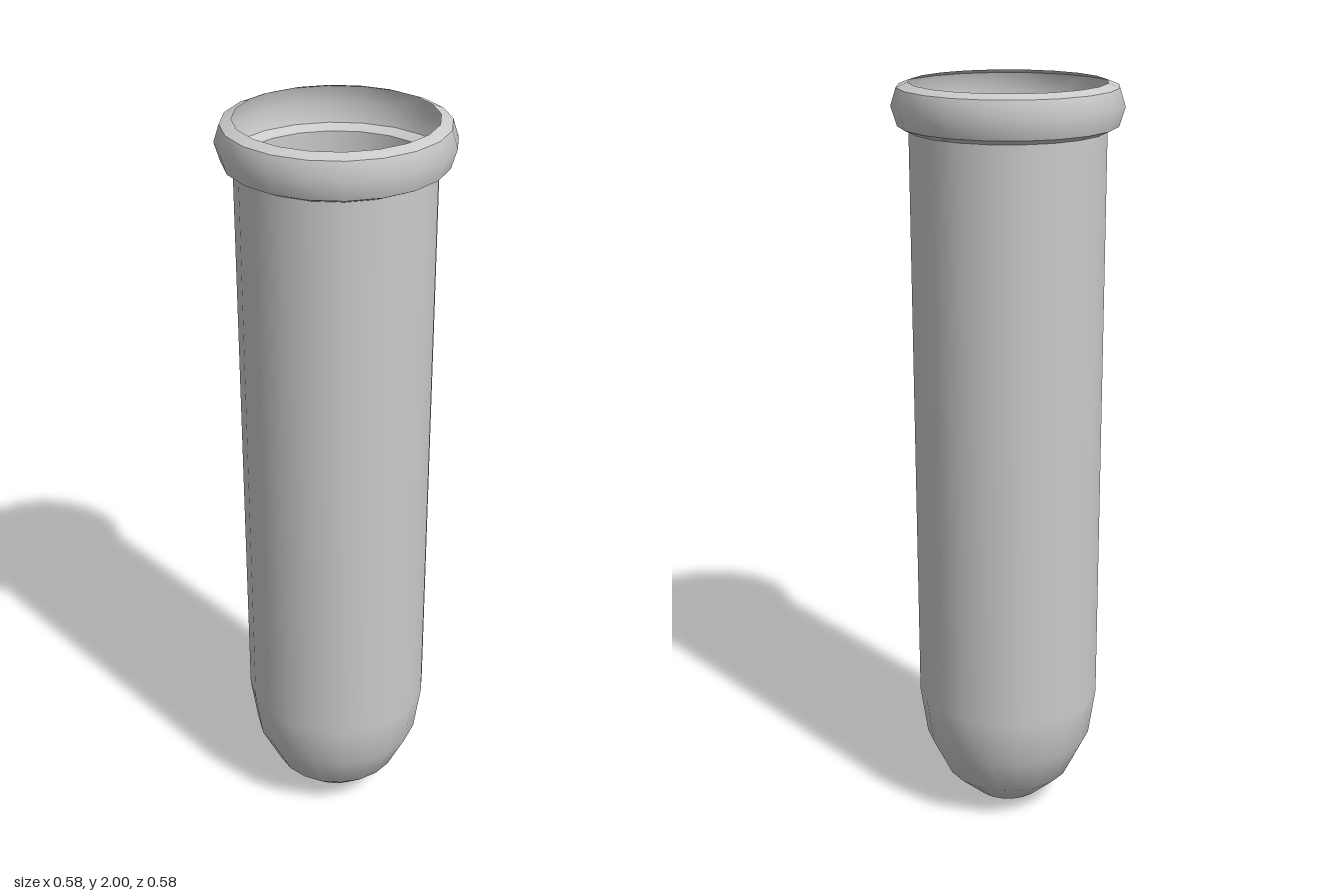
import * as THREE from 'three';
import { toCreasedNormals } from 'three/addons/utils/BufferGeometryUtils.js';

const SIDES = 20;
const RADIUS = 0.247;
const DOME_HEIGHT = 0.345;
const RIM_BOTTOM = 1.883;

export function createModel() {
  const group = new THREE.Group();
  group.name = 'testTube';
  const material = new THREE.MeshStandardMaterial({ color: 0xcccccc, side: THREE.DoubleSide });

  const addPart = (name, geometry) => {
    const mesh = new THREE.Mesh(geometry, material);
    mesh.name = name;
    group.add(mesh);
  };

  // Thin open wall: elliptical rounded bottom running into a straight tube
  const wall = [];
  for (let i = 0; i <= 4; i++) {
    const a = (i / 4) * Math.PI / 2;
    wall.push(new THREE.Vector2(RADIUS * Math.sin(a), DOME_HEIGHT * (1 - Math.cos(a))));
  }
  wall.push(new THREE.Vector2(RADIUS, RIM_BOTTOM));
  addPart('tubeBody', new THREE.LatheGeometry(wall, SIDES));

  // Hollow bulging rim, open towards the inside
  const rim = [
    [RADIUS, RIM_BOTTOM], [0.275, 1.896], [0.29, 1.945], [0.276, 1.989], [RADIUS, 2],
  ].map(([x, y]) => new THREE.Vector2(x, y));
  addPart('rim', toCreasedNormals(new THREE.LatheGeometry(rim, SIDES), THREE.MathUtils.degToRad(42)));

  return group;
}
